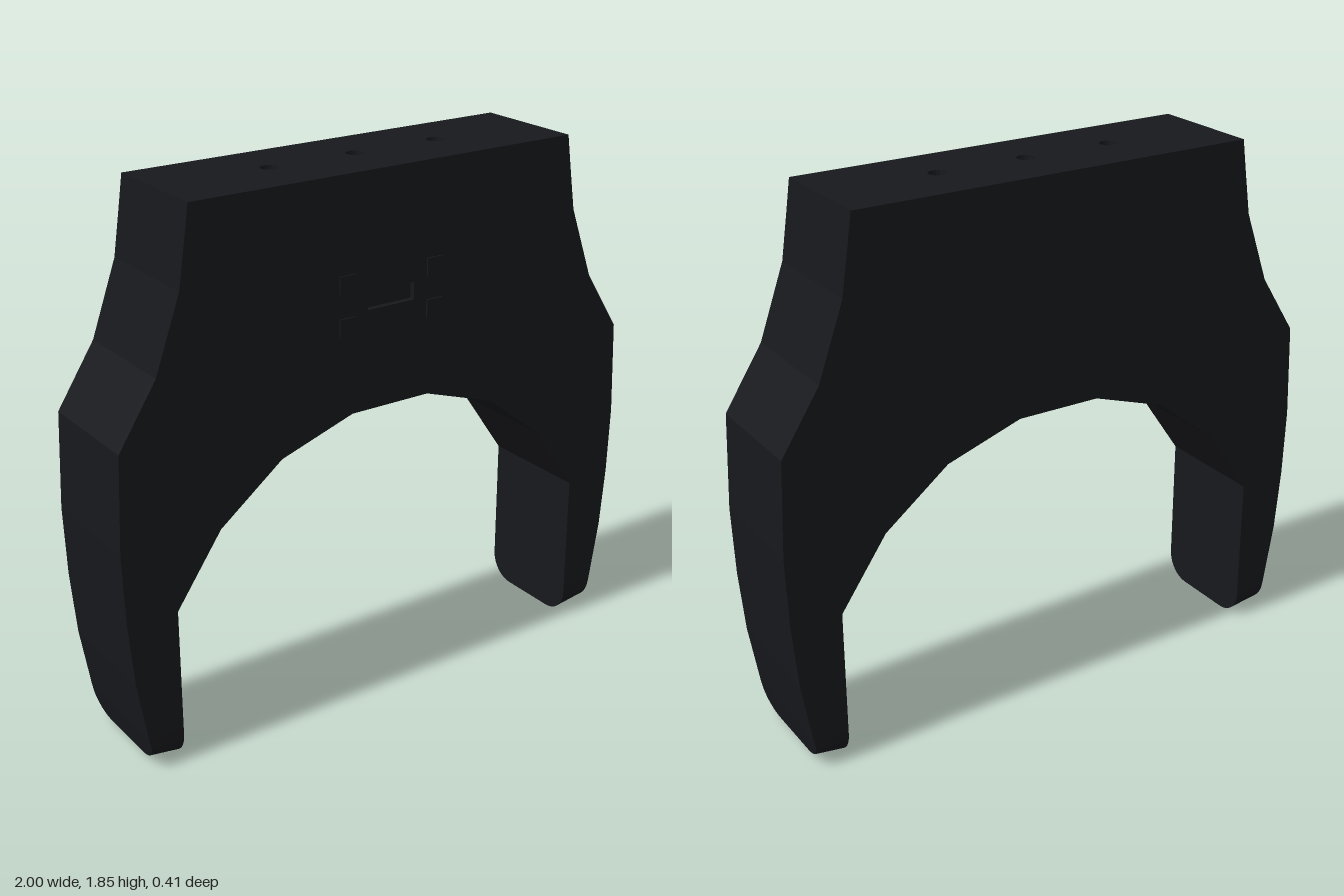
import * as THREE from 'three';
import { toCreasedNormals } from 'three/addons/utils/BufferGeometryUtils.js';

const HALF = 0.2025;      // half thickness of the frame
const TIP_Y = 0.12;       // height where the rounded leg tips begin
const SLAB_Y = 1.75;      // height where the drilled top slab begins
const TOP_Y = 1.85;
const RECESS = 0.02;      // depth of the front recess

const material = new THREE.MeshStandardMaterial({ color: 0x17181c, flatShading: true });
const smoothMaterial = new THREE.MeshStandardMaterial({ color: 0x17181c });

function addMesh(parent, name, geometry, mat = material) {
  const mesh = new THREE.Mesh(geometry, mat);
  mesh.name = name;
  parent.add(mesh);
  return mesh;
}

// Move every vertex of a geometry by a rule
function reshape(geometry, rule) {
  const p = geometry.attributes.position;
  const v = new THREE.Vector3();
  for (let i = 0; i < p.count; i++) {
    rule(v.fromBufferAttribute(p, i));
    p.setXYZ(i, v.x, v.y, v.z);
  }
  geometry.computeVertexNormals();
  return geometry;
}

// Arch outline: one half, mirrored to the other side
function archShape() {
  const half = [
    [0.15, 1.06], [0.42, 0.97], [0.65, 0.79], [0.815, 0.55], [0.815, TIP_Y],
    [0.94, TIP_Y], [0.975, 0.34], [0.993, 0.56], [1, 0.8], [0.985, 1.13],
    [0.85, 1.34], [0.76, 1.59], [0.735, SLAB_Y],
  ];
  const mirrored = half.map(([x, y]) => [-x, y]).reverse();
  return new THREE.Shape([...half, ...mirrored].map(([x, y]) => new THREE.Vector2(x, y)));
}

function extrude(shape, depth, z = 0) {
  return new THREE.ExtrudeGeometry(shape, { depth, bevelEnabled: false, curveSegments: 8 }).translate(0, 0, z);
}

// Top slab with three screw holes, slightly wider at its foot
function topSlab() {
  const w = 0.72;
  const shape = new THREE.Shape([[-w, -HALF], [w, -HALF], [w, HALF], [-w, HALF]]
    .map(([x, y]) => new THREE.Vector2(x, y)));
  for (const x of [-0.32, 0, 0.32]) {
    shape.holes.push(new THREE.Path().absarc(x, 0, 0.03, 0, Math.PI * 2, true));
  }
  const geometry = extrude(shape, TOP_Y - SLAB_Y).rotateX(-Math.PI / 2).translate(0, SLAB_Y, 0);
  return reshape(geometry, (v) => {
    if (Math.abs(v.x) > 0.5 && v.y < SLAB_Y + 0.01) v.x *= 0.735 / w;
  });
}

// Leg tip: rounded side profile swept across the tapering leg
function legTip() {
  const r = 0.095;
  const shape = new THREE.Shape();
  shape.moveTo(-HALF, TIP_Y);
  shape.lineTo(-HALF, r);
  shape.absarc(-HALF + r, r, r, Math.PI, Math.PI * 1.5, false);
  shape.absarc(HALF - r, r, r, Math.PI * 1.5, Math.PI * 2, false);
  shape.lineTo(HALF, TIP_Y);
  const geometry = reshape(extrude(shape, 1).rotateY(Math.PI / 2), (v) => {
    const t = v.y / TIP_Y;
    const outer = THREE.MathUtils.lerp(0.92, 0.94, t);
    v.y += v.x * 0.02 * (1 - t);
    v.x = THREE.MathUtils.lerp(0.815, outer, v.x);
  });
  return toCreasedNormals(geometry, 0.5);
}

export function createModel() {
  const group = new THREE.Group();
  group.name = 'archBracket';

  // Main arch, with a thin front layer that carries the recess
  addMesh(group, 'archBody', extrude(archShape(), HALF * 2 - RECESS, -HALF));
  const front = archShape();
  front.holes.push(new THREE.Path([[-0.09, 1.4], [-0.09, 1.46], [0.09, 1.46], [0.09, 1.4]]
    .map(([x, y]) => new THREE.Vector2(x, y))));
  addMesh(group, 'frontLayer', extrude(front, RECESS, HALF - RECESS));

  addMesh(group, 'topSlab', topSlab());

  // Rounded leg tips
  const tip = legTip();
  addMesh(group, 'leftLegTip', tip, smoothMaterial);
  addMesh(group, 'rightLegTip', tip, smoothMaterial).rotation.y = Math.PI;

  // Four small raised pads around the recess
  const pad = new THREE.BoxGeometry(0.06, 0.06, 0.012);
  for (const x of [-0.17, 0.17]) {
    for (const y of [1.36, 1.5]) {
      addMesh(group, 'frontPad', pad).position.set(x, y, HALF);
    }
  }

  group.position.z = -0.003;
  return group;
}
